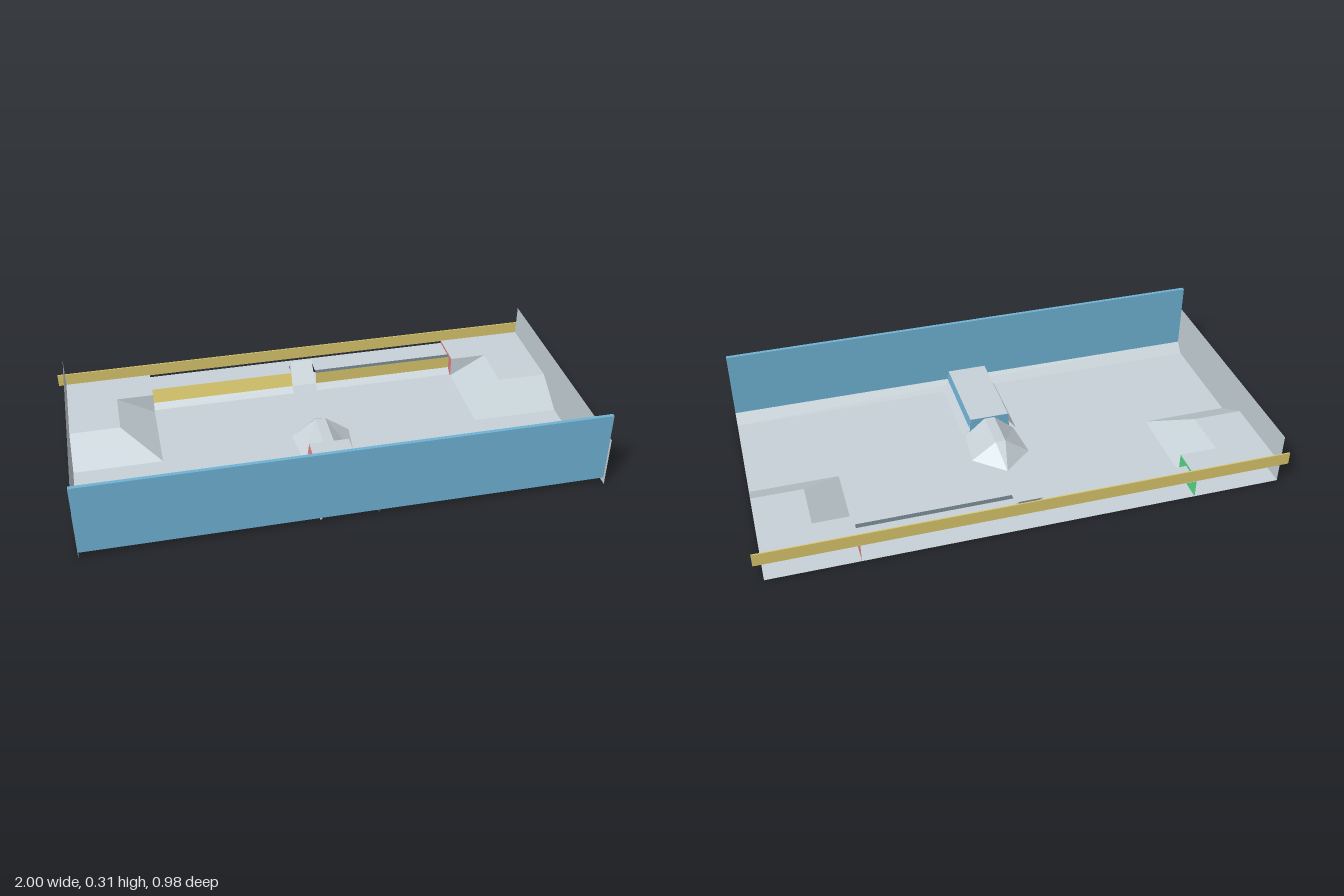
import * as THREE from 'three';

const D = THREE.DoubleSide;
const mat = (name, color, side = D) => {
  const m = new THREE.MeshStandardMaterial({ color, side });
  m.name = name;
  return m;
};

// Flat-shaded sheet made of triangles and quads, each a list of [x, y, z] corners
function sheet(name, material, faces) {
  const pos = [];
  for (const f of faces)
    for (let i = 1; i < f.length - 1; i++) pos.push(...f[0], ...f[i], ...f[i + 1]);
  const g = new THREE.BufferGeometry();
  g.setAttribute('position', new THREE.Float32BufferAttribute(pos, 3));
  g.computeVertexNormals();
  const mesh = new THREE.Mesh(g, material);
  mesh.name = name;
  return mesh;
}

function box(name, material, w, h, d, x, y, z) {
  const mesh = new THREE.Mesh(new THREE.BoxGeometry(w, h, d), material);
  mesh.position.set(x, y, z);
  mesh.name = name;
  return mesh;
}

export function createModel() {
  const root = new THREE.Group();
  root.name = 'tray';
  const grey = mat('paleGrey', 0xc6d1d7);
  const blue = mat('blue', 0x6fb2d4);
  const yellow = mat('yellow', 0xd8c66c, THREE.FrontSide);
  const red = mat('red', 0xe08080);
  const green = mat('green', 0x55d485);
  const slate = mat('slate', 0x66757d);

  const W = 0.97, back = -0.485, H = 0.083;

  // Floor with a chamfer rising to the front wall
  root.add(sheet('floor', grey, [
    [[-W, 0, 0.43], [W, 0, 0.43], [W, 0, back], [-W, 0, back]],
    [[-W, 0.04, 0.468], [W, 0.04, 0.468], [W, 0, 0.43], [-W, 0, 0.43]],
  ]));

  // Front wall and back rail
  root.add(box('frontWall', blue, 2 * W, 0.283, 0.014, 0, 0.1635, 0.473));
  root.add(box('backRail', yellow, 2, 0.05, 0.005, 0, 0.105, -0.4895));

  for (const s of [1, -1]) {
    const p = (x, y, z) => [s * x, y, z];
    // Side walls
    root.add(sheet('sideWall', grey, [
      [p(W, 0, 0.492), p(W, 0, -0.484), p(W, 0.205, -0.484), p(W, 0.205, 0.492)],
    ]));
    // Raised back corner with mitred slopes
    root.add(sheet('cornerPlatform', grey, [
      [p(W, H, back), p(0.63, H, back), p(0.63, H, -0.335), p(W, H, -0.335)],
      [p(W, H, -0.335), p(0.775, H, -0.335), p(0.775, H, -0.14), p(W, H, -0.14)],
      [p(0.775, H, -0.335), p(0.63, 0, -0.335), p(0.63, 0, 0), p(0.775, H, -0.14)],
      [p(W, H, -0.14), p(0.775, H, -0.14), p(0.63, 0, 0), p(W, 0, 0)],
      [p(0.775, H, -0.335), p(0.63, H, -0.335), p(0.63, 0, -0.335)],
    ]));
    // Coloured end of the corner platform
    root.add(sheet('platformEnd', s > 0 ? red : green, [
      [p(0.63, 0, back), p(0.63, 0, -0.335), p(0.63, H, -0.335), p(0.63, H, back)],
    ]));
  }

  // Back ledge, split by the middle notch
  const R = 0.072;
  for (const s of [1, -1]) {
    const [a, b] = s > 0 ? [0.05, 0.63] : [-0.63, -0.05];
    root.add(sheet('backLedge', grey, [
      [[a, R, -0.39], [b, R, -0.39], [b, R, back], [a, R, back]],
      [[a, 0, -0.345], [b, 0, -0.345], [b, 0.02, -0.37], [a, 0.02, -0.37]],
    ]));
    const top = s > 0 ? -0.37 : -0.39;
    root.add(sheet('ledgeFace', yellow, [
      [[a, 0.02, -0.37], [b, 0.02, -0.37], [b, R, top], [a, R, top]],
    ]));
    if (s > 0) root.add(sheet('ledgeLip', slate, [
      [[a, R, -0.37], [b, R, -0.37], [b, R, -0.39], [a, R, -0.39]],
    ]));
  }
  root.add(sheet('middleNotch', grey, [
    [[-0.05, 0.02, -0.37], [0.05, 0.02, -0.37], [0.045, 0.095, -0.44], [-0.045, 0.095, -0.44]],
    [[-0.05, R, back], [-0.05, R, -0.44], [0.05, R, -0.44], [0.05, R, back]],
    ...[1, -1].map(s => [[s * 0.05, 0.02, -0.37], [s * 0.05, 0.02, -0.44], [s * 0.045, 0.095, -0.44]]),
  ]));

  // Central spine: pointed nose, narrow ridge and wide block
  const spine = new THREE.Group();
  spine.name = 'centralSpine';
  const T = 0.075, N = 0.07;
  const ridge = [
    [[-0.02, N, 0.11], [0.02, N, 0.11], [0.02, N, -0.05], [-0.02, N, -0.05]],
    [[-0.02, N, -0.05], [0.02, N, -0.05], [0, 0, -0.15]],
  ];
  const skirts = [];
  for (const s of [1, -1]) {
    ridge.push(
      [[s * 0.02, N, -0.05], [s * 0.02, N, 0.11], [s * 0.1, 0, 0.11], [s * 0.115, 0, -0.05]],
      [[s * 0.02, N, -0.05], [s * 0.115, 0, -0.05], [0, 0, -0.15]],
    );
    skirts.push(
      [[s * 0.083, 0.035, 0.11], [s * 0.083, 0.035, 0.466], [s * 0.11, 0, 0.466], [s * 0.11, 0, 0.11]],
    );
    spine.add(sheet('blockSide', s > 0 ? blue : red, [
      [[s * 0.083, 0.035, 0.11], [s * 0.083, 0.035, 0.466], [s * 0.078, T, 0.466], [s * 0.078, T, 0.11]],
    ]));
  }
  spine.add(sheet('ridge', grey, ridge));
  spine.add(sheet('blockSkirt', grey, skirts));
  spine.add(sheet('blockTop', grey, [
    [[-0.078, T, 0.466], [0.078, T, 0.466], [0.078, T, 0.11], [-0.078, T, 0.11]],
  ]));
  spine.add(sheet('blockEnd', blue, [
    [[0.083, 0, 0.11], [-0.083, 0, 0.11], [-0.078, T, 0.11], [0.078, T, 0.11]],
  ]));
  root.add(spine);

  return root;
}
